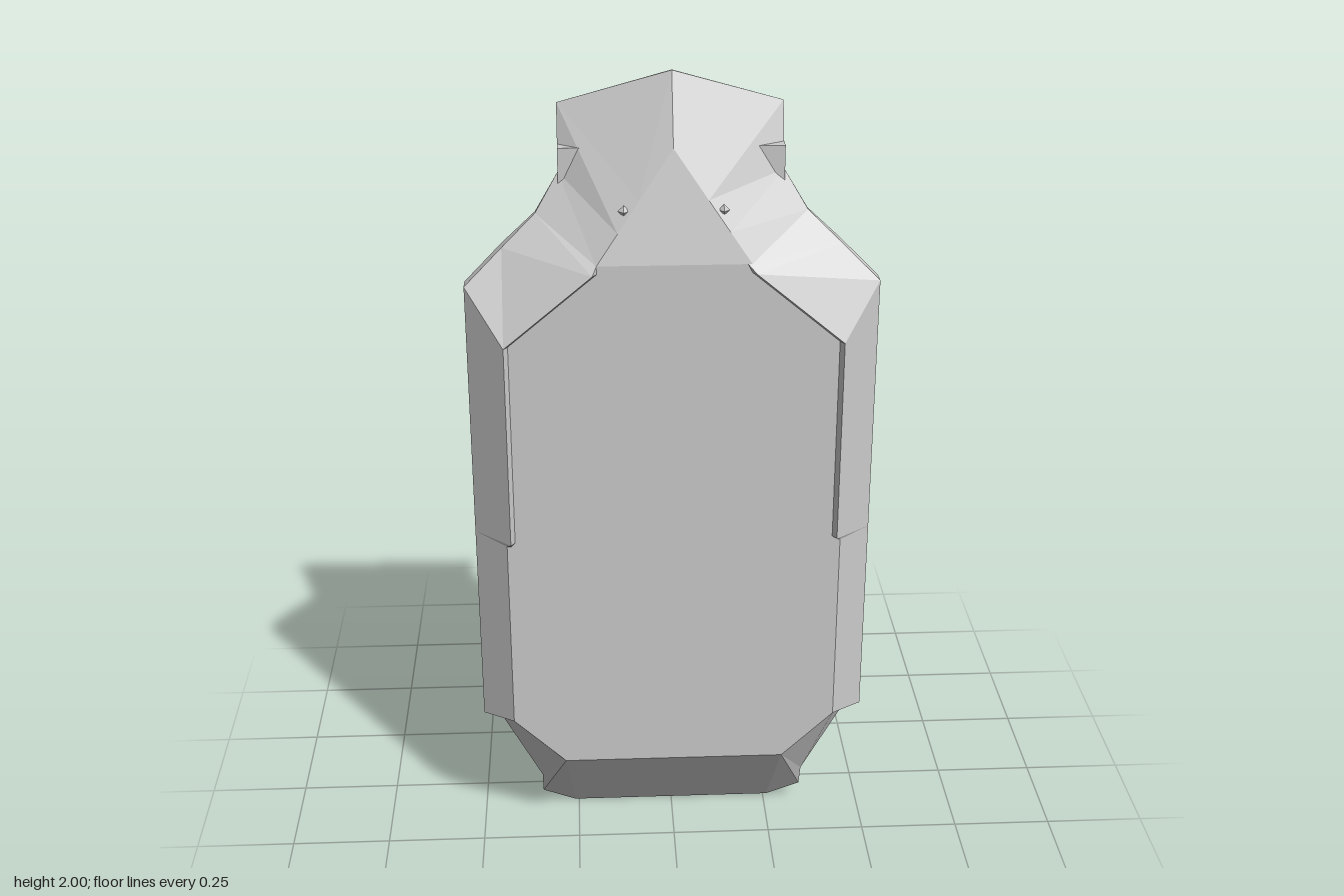
import * as THREE from 'three';
import { ConvexGeometry } from 'three/addons/geometries/ConvexGeometry.js';

const material = new THREE.MeshStandardMaterial({ color: 0xcccccc, flatShading: true, side: THREE.DoubleSide });

function part(name, geometry) {
  const mesh = new THREE.Mesh(geometry, material);
  mesh.name = name;
  return mesh;
}

// Skins a list of closed rings, front to back, and fans both ends shut.
function loft(rings) {
  const pos = [];
  const tri = (a, b, c) => pos.push(...a, ...b, ...c);
  const n = rings[0].length;
  const centre = (ring) => [0, 1, 2].map((k) => ring.reduce((s, p) => s + p[k], 0) / n);
  const first = rings[0], last = rings[rings.length - 1];
  const c0 = centre(first), c1 = centre(last);
  for (let i = 0; i < n; i++) {
    const j = (i + 1) % n;
    tri(c0, first[j], first[i]);
    tri(c1, last[i], last[j]);
    for (let r = 0; r + 1 < rings.length; r++) {
      const a = rings[r], b = rings[r + 1];
      tri(a[i], a[j], b[j]);
      tri(a[i], b[j], b[i]);
    }
  }
  const g = new THREE.BufferGeometry();
  g.setAttribute('position', new THREE.Float32BufferAttribute(pos, 3));
  g.computeVertexNormals();
  return g;
}

// Completes a half outline (top centre to bottom centre) with its mirror image.
const mirrorRing = (half) => [...half, ...half.slice(1, -1).reverse().map(([x, y, z]) => [-x, y, z])];

// Convex solid from points given for +x, mirrored to -x.
const mirroredHull = (points) => new ConvexGeometry(
  points.flatMap(([x, y, z]) => [new THREE.Vector3(x, y, z), new THREE.Vector3(-x, y, z)]));

// Faceted case: recessed panel, raised rim, silhouette, wing edge, wing back
function caseGeometry() {
  const rim = [
    [0, 1.84, 0.185], [0.08, 1.724, 0.209], [0.13, 1.652, 0.225], [0.18, 1.58, 0.24],
    [0.19, 1.56, 0.255], [0.4, 1.385, 0.255], [0.4, 0.87, 0.255], [0.41, 0.86, 0.24],
    [0.41, 0.355, 0.24], [0.41, 0.355, 0.24], [0.28, 0.23, 0.24], [0.28, 0.23, 0.24],
    [0.28, 0.23, 0.24], [0, 0.23, 0.24],
  ];
  const outline = [
    [0, 2, 0.105], [0.265, 1.91, 0.03], [0.265, 1.76, 0.085], [0.32, 1.67, 0.115],
    [0.4, 1.595, 0.14], [0.49, 1.51, 0.17], [0.49, 0.87, 0.17], [0.49, 0.86, 0.17],
    [0.49, 0.34, 0.17], [0.45, 0.34, 0.17], [0.345, 0.12, 0.14], [0.345, 0.05, 0.11],
    [0.26, 0, 0.085], [0, 0, 0.085],
  ];
  const panel = rim.map(([x, y]) => [Math.max(0, x - 0.01), Math.min(y, 1.58), 0.24]);
  const edge = outline.map(([x, y, z]) => [x, y, Math.min(z, Math.max(z - 0.04, 0.1))]);
  const wing = edge.map(([x, y, z]) => [Math.min(x, 0.41), y, z]);
  const back = edge.map(([x, y, z]) => [Math.min(x, 0.265), Math.min(y, 1.8), Math.min(z, 0.085)]);
  return loft([panel, rim, outline, edge, wing, back].map(mirrorRing));
}

// Oval disc, widening towards the rim and finishing in a flat round back
function discGeometry() {
  const sides = 22;
  const sections = [ // z, half width, half height, centre height
    [0.005, 0.2, 0.12, 0.86], [-0.005, 0.262, 0.22, 0.88], [-0.04, 0.3, 0.36, 0.98],
    [-0.1, 0.35, 0.405, 0.985], [-0.15, 0.39, 0.425, 0.975], [-0.18, 0.385, 0.415, 0.98],
    [-0.19, 0.345, 0.36, 1.0], [-0.198, 0.34, 0.35, 1.0],
  ];
  return loft(sections.map(([z, rx, ry, cy]) => Array.from({ length: sides }, (_, i) => {
    const a = (i / sides) * Math.PI * 2;
    return [rx * Math.sin(a), cy + ry * Math.cos(a), z];
  })));
}

// Peg with a flared foot
function pegGeometry() {
  const shape = new THREE.Shape();
  [[-0.045, 1.22], [-0.042, 1.14], [-0.115, 1.1], [-0.105, 1.08],
    [0.085, 1.08], [0.095, 1.1], [0.042, 1.14], [0.045, 1.22]].reverse()
    .forEach(([x, y], i) => (i ? shape.lineTo(x, y) : shape.moveTo(x, y)));
  const g = new THREE.ExtrudeGeometry(shape, { depth: 0.06, bevelEnabled: false });
  g.translate(0, 0, -0.25);
  // the foot reaches further back than the stem
  const p = g.attributes.position;
  for (let i = 0; i < p.count; i++) {
    if (p.getZ(i) < -0.2) p.setZ(i, p.getY(i) < 1.12 ? -0.258 : -0.24);
  }
  g.computeVertexNormals();
  return g;
}

export function createModel() {
  const model = new THREE.Group();
  model.name = 'model';

  model.add(part('case', caseGeometry()));

  // Overhanging gabled cap
  model.add(part('topCap', mirroredHull([
    [0, 2, 0.105], [0.265, 1.91, 0.03], [0.265, 1.83, -0.04],
    [0.265, 1.8, -0.04], [0.265, 1.8, 0.06],
  ])));

  // Spine with chamfered back edges
  model.add(part('spine', mirroredHull([0.35, 1.82].flatMap((y) => [
    [0.265, y, 0.1], [0.265, y, 0.03], [0.15, y, -0.035],
  ]))));

  // Bottom hinge block and its end knuckles
  model.add(part('hingeBlock', mirroredHull([
    [0.265, 0.34, 0.1], [0.265, 0.4, 0.03], [0.265, 0.4, -0.02], [0.2, 0.4, -0.035],
    [0.19, 0.35, -0.065], [0.265, 0.27, -0.065], [0.265, 0.12, -0.065],
    [0.265, 0.05, -0.015], [0.26, 0.01, 0.085], [0.265, 0.12, 0.1],
  ])));
  for (const side of [-1, 1]) {
    const knuckle = part('hingeKnuckle', new THREE.CylinderGeometry(0.087, 0.087, 0.035, 20));
    knuckle.rotation.z = Math.PI / 2;
    knuckle.position.set(side * 0.249, 0.14, -0.012);
    model.add(knuckle);
  }

  model.add(part('disc', discGeometry()));

  // Paired lugs on top of the disc
  for (const side of [-1, 1]) {
    const lug = part('discLug', mirroredHull([
      [0.024, 1.3, -0.04], [0.024, 1.38, -0.04], [0.024, 1.42, -0.085],
      [0.02, 1.44, -0.13], [0.02, 1.44, -0.165], [0.024, 1.41, -0.185], [0.024, 1.3, -0.185],
    ]));
    lug.position.x = side * 0.084;
    model.add(lug);
  }

  model.add(part('peg', pegGeometry()));

  // Small studs on the brow
  for (const side of [-1, 1]) {
    const stud = part('browStud', new THREE.OctahedronGeometry(0.014));
    stud.position.set(side * 0.115, 1.7, 0.206);
    model.add(stud);
  }
  return model;
}
